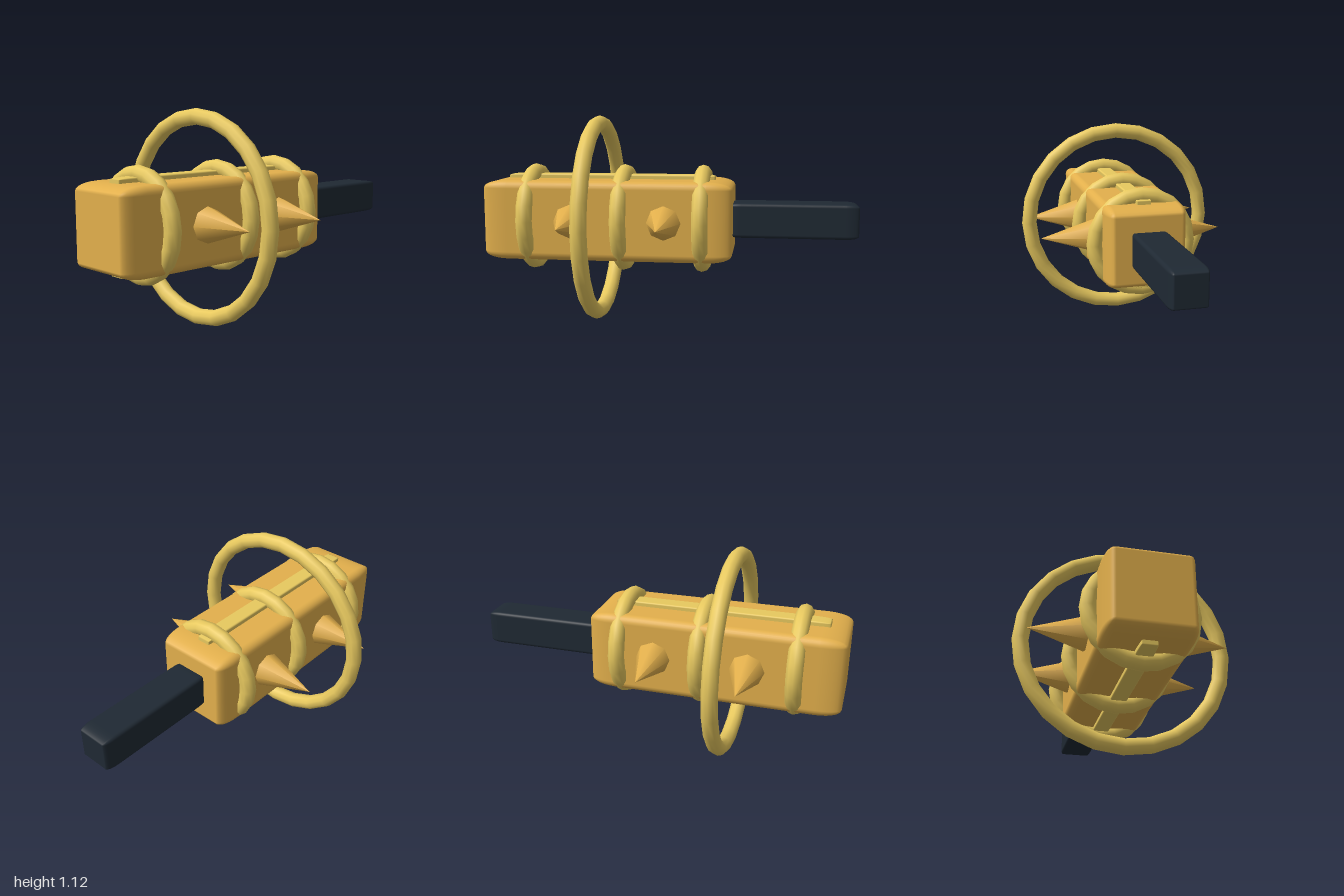
import * as THREE from 'three';
import { RoundedBoxGeometry } from 'three/addons/geometries/RoundedBoxGeometry.js';

const MID = 0.563; // height of the long axis

export function createModel() {
  const model = new THREE.Group();
  model.name = 'spikedHammer';

  const gold = new THREE.MeshStandardMaterial({ color: 0xe3b04c });
  const brightGold = new THREE.MeshStandardMaterial({ color: 0xe8c95f });
  const dark = new THREE.MeshStandardMaterial({ color: 0x1f2933 });

  function add(name, geometry, material, x, y, z) {
    const mesh = new THREE.Mesh(geometry, material);
    mesh.name = name;
    mesh.position.set(x, y, z);
    model.add(mesh);
    return mesh;
  }

  // Bevelled cube stretched to size, so the bevel stretches along with it
  function stretchedBox(w, h, d) {
    return new RoundedBoxGeometry(1, 1, 1, 3, 0.1).scale(w, h, d);
  }

  // Main block and grip
  add('body', stretchedBox(0.43, 0.43, 1.34), gold, 0, MID, 0.33);
  add('handle', stretchedBox(0.186, 0.186, 0.69), dark, 0, MID + 0.003, -0.655);

  // Raised strips along the top and bottom
  for (const side of [1, -1]) {
    add(side > 0 ? 'topStrip' : 'bottomStrip', stretchedBox(0.086, 0.086, 1.14),
      brightGold, 0, MID + side * 0.196, 0.33);
  }

  // Bands around the block
  for (const z of [0.758, 0.255, -0.175]) {
    add('band', new THREE.TorusGeometry(0.25, 0.043, 10, 20), brightGold, 0, MID, z);
  }

  // Large hoop
  add('hoop', new THREE.TorusGeometry(0.518, 0.042, 10, 24), brightGold, 0, 0.56, 0.395);

  // Side spikes, pointing outwards
  for (const side of [1, -1]) {
    for (const z of [0.515, 0.017]) {
      const spike = add(side > 0 ? 'leftSpike' : 'rightSpike',
        new THREE.ConeGeometry(0.095, 0.3, 8), gold, side * 0.353, MID, z);
      spike.rotation.z = -side * Math.PI / 2;
    }
  }

  return model;
}
